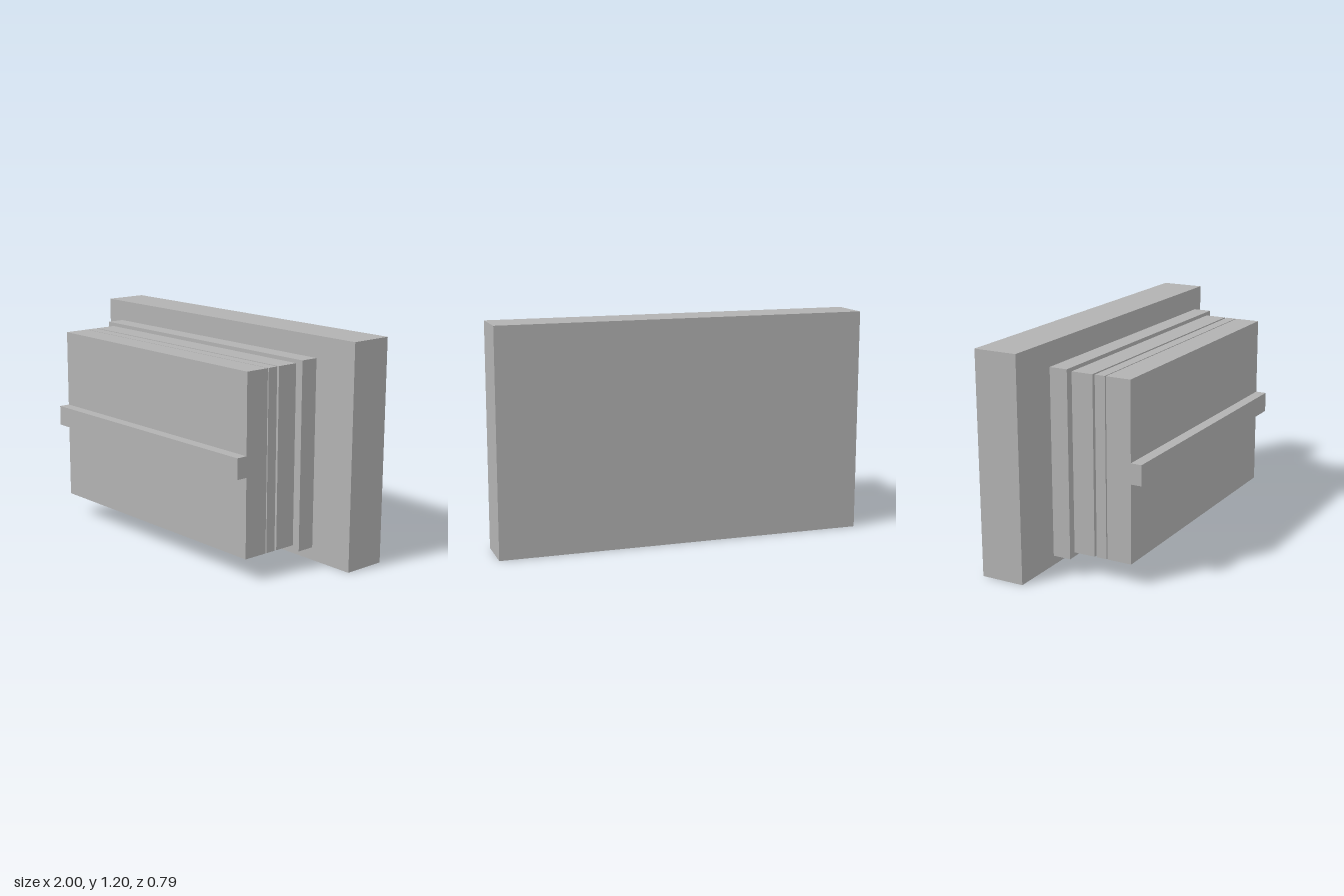
import * as THREE from 'three';

const grey = new THREE.MeshStandardMaterial({ color: 0xb2b2b2 });
grey.name = 'plain grey';

// Box given by its width (centred on x) and its y and z limits
function slab(name, width, [y0, y1], [z0, z1]) {
  const mesh = new THREE.Mesh(new THREE.BoxGeometry(width, y1 - y0, z1 - z0), grey);
  mesh.name = name;
  mesh.position.set(0, (y0 + y1) / 2, (z0 + z1) / 2);
  return mesh;
}

export function createModel() {
  const model = new THREE.Group();
  model.name = 'layeredPanel';

  // Stack of upright layers, back to front
  const inner = [0.122, 1.08];
  model.add(
    slab('backSlab', 2, [0, 1.2], [-0.397, -0.157]),
    slab('mountingPlate', 1.6, [0.1, 1.1], [-0.094, 0.005]),
    slab('rearLayer', 1.512, inner, [0.005, 0.124]),
    slab('middleLayer', 1.512, inner, [0.137, 0.194]),
    slab('frontLayer', 1.512, inner, [0.2, 0.337]),
    slab('frontRib', 1.512, [0.547, 0.657], [0.337, 0.397]),
  );

  // Small spacer discs in the gap behind the front layer
  const spacers = new THREE.Group();
  spacers.name = 'spacers';
  const disc = new THREE.CylinderGeometry(0.048, 0.048, 0.006, 24).rotateX(Math.PI / 2);
  for (const x of [-0.482, 0, 0.482]) {
    for (const y of [0.322, 0.88]) {
      const spacer = new THREE.Mesh(disc, grey);
      spacer.name = 'spacer';
      spacer.position.set(x, y, 0.197);
      spacers.add(spacer);
    }
  }
  model.add(spacers);
  return model;
}
